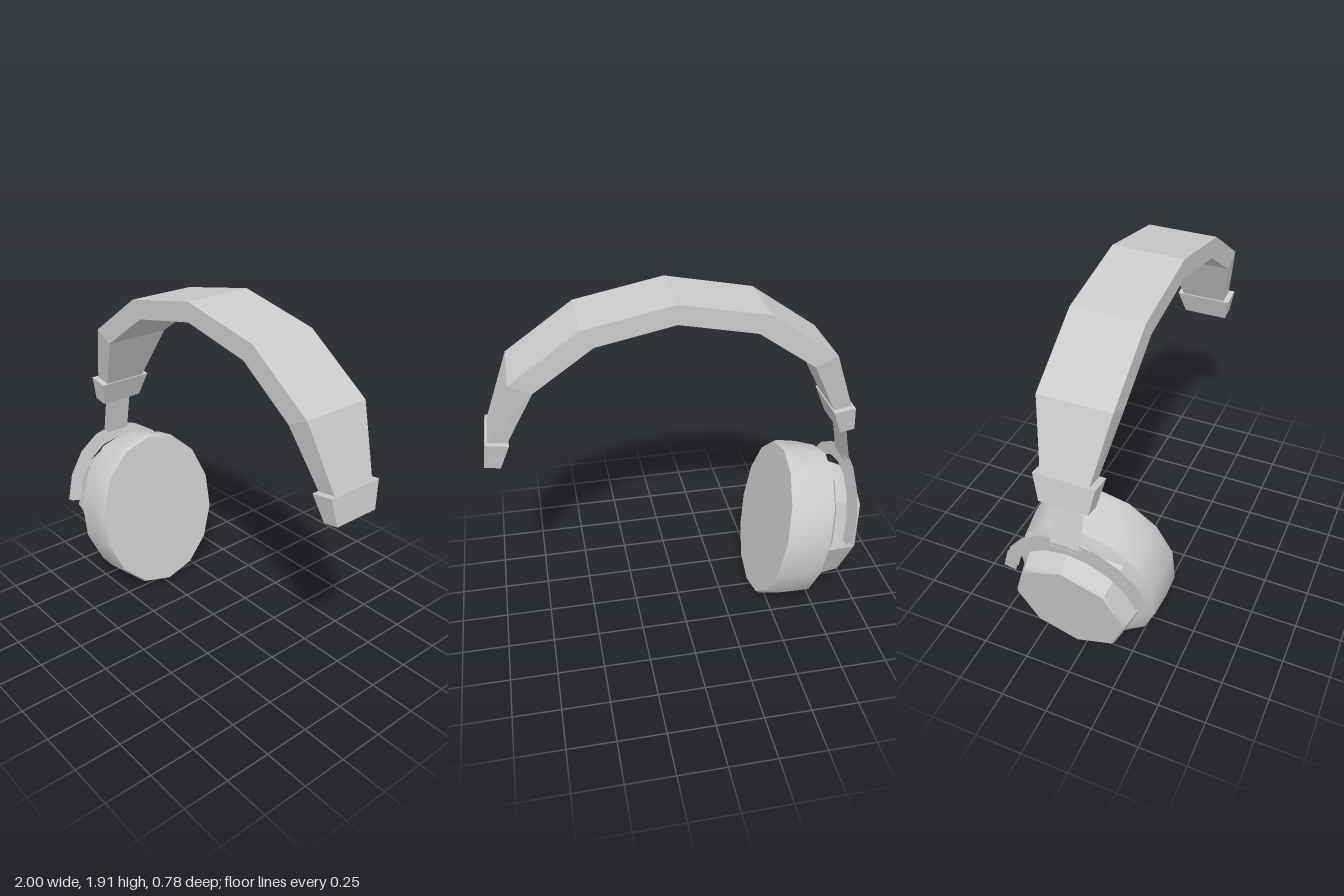
import * as THREE from 'three';
import { toCreasedNormals } from 'three/addons/utils/BufferGeometryUtils.js';

const material = new THREE.MeshStandardMaterial({ color: 0xcccccc });
const flat = new THREE.MeshStandardMaterial({ color: 0xcccccc, flatShading: true });
const sheet = new THREE.MeshStandardMaterial({ color: 0xcccccc, side: THREE.DoubleSide });

const BAND_X = 0.035; // centre line of the headband

function addMesh(parent, name, geometry, mat = material) {
  const mesh = new THREE.Mesh(geometry, mat);
  mesh.name = name;
  parent.add(mesh);
  return mesh;
}

// Closed loft through rectangular sections [outerX, outerY, innerX, innerY, halfWidth], left to right
function loft(sections) {
  const rings = sections.map(([ox, oy, ix, iy, w]) => [[ox, oy, -w], [ox, oy, w], [ix, iy, w], [ix, iy, -w]]);
  const pos = [];
  const quad = (a, b, c, d) => pos.push(...a, ...b, ...c, ...a, ...c, ...d);
  for (let i = 0; i < rings.length - 1; i++) {
    for (let j = 0; j < 4; j++) {
      const k = (j + 1) % 4;
      quad(rings[i][j], rings[i][k], rings[i + 1][k], rings[i + 1][j]);
    }
  }
  quad(...rings[0].slice().reverse());
  quad(...rings[rings.length - 1]);
  const g = new THREE.BufferGeometry();
  g.setAttribute('position', new THREE.Float32BufferAttribute(pos, 3));
  g.computeVertexNormals();
  return g;
}

const mirrorX = ([ox, oy, ix, iy, w]) => [-ox, oy, -ix, iy, w];

// Oval turned body; profile is [distance along the cup axis, radius]
function oval(profile, sides, widthScale) {
  const g = new THREE.LatheGeometry(profile.map(([t, r]) => new THREE.Vector2(r, t)), sides);
  g.scale(widthScale, 1, 1);
  return toCreasedNormals(g, 0.6);
}

// Half ring that grips the cup
function yokeShape() {
  const shape = new THREE.Shape();
  const start = 0.2, steps = 8;
  const at = (i, rx, ry) => {
    const a = start + (Math.PI - 2 * start) * i / steps;
    return [rx * Math.cos(a), 0.02 + ry * Math.sin(a)];
  };
  shape.moveTo(...at(0, 0.4, 0.46));
  for (let i = 1; i <= steps; i++) shape.lineTo(...at(i, 0.4, 0.46));
  for (let i = steps; i >= 0; i--) shape.lineTo(...at(i, 0.335, 0.385));
  shape.closePath();
  return shape;
}

export function createModel() {
  const model = new THREE.Group();
  model.name = 'headphones';

  // Headband: faceted arch that narrows at both ends
  const half = [
    [0.935, 1.235, 0.84, 1.22, 0.122],
    [0.805, 1.57, 0.695, 1.515, 0.185],
    [0.455, 1.815, 0.395, 1.725, 0.185],
  ];
  const band = addMesh(model, 'headband',
    loft([...half.map(mirrorX), [0, 1.905, 0, 1.805, 0.185], ...half.slice().reverse()]), flat);
  band.position.x = BAND_X;

  // Tapered end clips
  const clip = [[0.945, 1.24, 0.832, 1.222, 0.155], [0.965, 1.097, 0.885, 1.083, 0.125]];
  addMesh(model, 'leftClip', loft(clip), flat).position.x = BAND_X;
  addMesh(model, 'rightClip', loft(clip.map(mirrorX).reverse()), flat).position.x = BAND_X;

  // Ear cup, tilted: local y runs along its axis to the ear, local z runs up its face
  const cup = new THREE.Group();
  cup.name = 'earCup';
  const tilt = Math.atan2(0.186, 0.983);
  const axis = new THREE.Vector3(Math.cos(tilt), Math.sin(tilt), 0);
  const up = new THREE.Vector3(-axis.y, axis.x, 0);
  cup.quaternion.setFromRotationMatrix(new THREE.Matrix4().makeBasis(new THREE.Vector3(0, 0, 1), axis, up));
  cup.position.set(-0.505, 0.48, 0);
  model.add(cup);

  addMesh(cup, 'earCushion', oval([
    [-0.3, 0], [-0.295, 0.345], [-0.275, 0.405], [-0.25, 0.448],
    [-0.13, 0.464], [-0.02, 0.464], [0, 0.455], [0, 0],
  ], 14, 0.845));

  const cap = addMesh(cup, 'outerCap', oval([
    [-0.442, 0], [-0.442, 0.31], [-0.43, 0.322], [-0.3, 0.357], [-0.26, 0.37], [-0.26, 0],
  ], 8, 0.93));
  cap.position.z = 0.035;

  // Yoke: two thin parallel plates
  for (const t of [-0.365, -0.338]) {
    const plate = new THREE.ShapeGeometry(yokeShape());
    plate.rotateX(Math.PI / 2);
    addMesh(cup, 'yokePlate', plate, sheet).position.y = t;
  }

  // Stem: two thin plates from the clip down to the yoke
  const top = new THREE.Vector2(-0.882, 1.13), bottom = new THREE.Vector2(-0.935, 0.85);
  const slope = top.clone().sub(bottom);
  for (const offset of [-0.013, 0.013]) {
    const plate = new THREE.PlaneGeometry(0.15, slope.length());
    plate.rotateY(Math.PI / 2);
    const mesh = addMesh(model, 'stemPlate', plate, sheet);
    mesh.rotation.z = Math.atan2(slope.y, slope.x) - Math.PI / 2;
    mesh.position.set((top.x + bottom.x) / 2 + offset, (top.y + bottom.y) / 2, 0);
  }

  return model;
}
